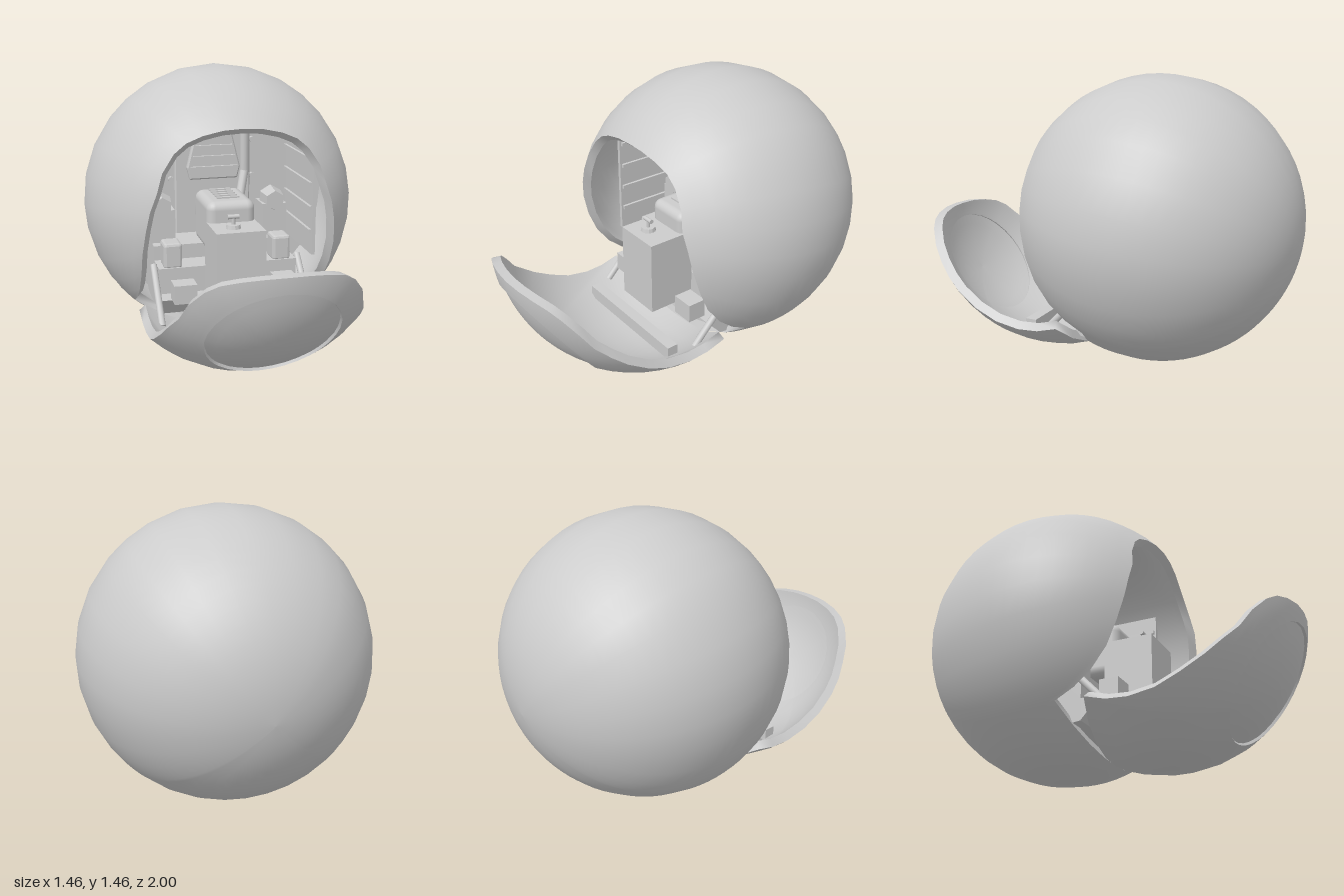
import * as THREE from 'three';
import { RoundedBoxGeometry } from 'three/addons/geometries/RoundedBoxGeometry.js';

const R = 0.73, RI = 0.685, DEG = Math.PI / 180;
const BODY_Z = -0.27, SWING = 43.3, WINDOW = 26;
const mat = new THREE.MeshStandardMaterial({ color: 0xcccccc, side: THREE.DoubleSide });
const flat = new THREE.MeshStandardMaterial({ color: 0xcccccc, side: THREE.DoubleSide, flatShading: true });

function add(parent, name, geo, x = 0, y = 0, z = 0, material = flat) {
  const m = new THREE.Mesh(geo, material);
  m.name = name;
  m.position.set(x, y, z);
  parent.add(m);
  return m;
}
const box = (w, h, d) => new THREE.BoxGeometry(w, h, d);

// Unit direction at offset x and angle phi, turning from straight down to the front
function dir(x, phi) {
  const u = x / R, rho = Math.sqrt(1 - u * u);
  return new THREE.Vector3(u, -Math.cos(phi * DEG) * rho, Math.sin(phi * DEG) * rho);
}
function slerp(a, b, t) {
  const w = a.angleTo(b);
  if (w < 1e-5) return a.clone();
  return a.clone().multiplyScalar(Math.sin((1 - t) * w) / Math.sin(w))
    .addScaledVector(b, Math.sin(t * w) / Math.sin(w));
}
// Surface through closed rings of points
function skin(rings) {
  const n = rings[0].length, pos = [], idx = [];
  rings.forEach(r => r.forEach(p => pos.push(p.x, p.y, p.z)));
  for (let i = 0; i < rings.length - 1; i++) for (let j = 0; j < n; j++) {
    const a = i * n + j, b = i * n + (j + 1) % n;
    idx.push(a, b, a + n, b, b + n, a + n);
  }
  const g = new THREE.BufferGeometry();
  g.setAttribute('position', new THREE.Float32BufferAttribute(pos, 3));
  g.setIndex(idx);
  g.computeVertexNormals();
  return g;
}
// Thick spherical shell between two loops of directions
function shell(parent, name, from, to, rows, rOut, rIn) {
  const g = new THREE.Group();
  g.name = name;
  parent.add(g);
  const face = r => skin(Array.from({ length: rows + 1 }, (_, i) =>
    from.map((d, j) => slerp(d, to[j], i / rows).multiplyScalar(r))));
  const rim = loop => skin([rOut, rIn].map(r => loop.map(d => d.clone().multiplyScalar(r))));
  add(g, name + 'Outside', face(rOut), 0, 0, 0, mat);
  add(g, name + 'Inside', face(rIn), 0, 0, 0, mat);
  add(g, name + 'Rim', rim(from), 0, 0, 0, mat);
  if (to[0].distanceTo(to[1]) > 1e-4) add(g, name + 'InnerRim', rim(to), 0, 0, 0, mat);
  return g;
}
function rod(parent, name, a, b, r) {
  const p = new THREE.Vector3(...a), q = new THREE.Vector3(...b);
  const m = add(parent, name, new THREE.CylinderGeometry(r, r, p.distanceTo(q), 12), 0, 0, 0, mat);
  m.position.copy(p).add(q).multiplyScalar(0.5);
  m.quaternion.setFromUnitVectors(new THREE.Vector3(0, 1, 0), q.sub(p).normalize());
}
function extrude(points, depth, bevel = 0) {
  return new THREE.ExtrudeGeometry(new THREE.Shape(points.map(p => new THREE.Vector2(...p))),
    { depth, bevelEnabled: bevel > 0, bevelSize: bevel, bevelThickness: bevel, bevelSegments: 1 });
}

export function createModel() {
  const model = new THREE.Group();
  model.name = 'sphericalPod';

  // Doorway outline as (x, angle), mirrored
  const half = [[0, 130], [0.1, 129.8], [0.2, 128.8], [0.28, 127], [0.34, 123.5], [0.4, 116], [0.43, 107],
    [0.465, 98], [0.485, 88], [0.5, 74], [0.5, 60], [0.5, 46], [0.5, 34], [0.5, 22], [0.38, 22], [0.25, 22],
    [0.12, 22], [0, 22]];
  const outline = [...half, ...half.slice(1, -1).reverse().map(([x, p]) => [-x, p])].map(([x, p]) => dir(x, p));
  const centre = dir(0, 97.8);

  // Main spherical hull
  const back = centre.clone().multiplyScalar(-1);
  // keep the far pole slightly open-angled so the loop stays well defined
  const hull = shell(model, 'hull', outline, outline.map(() => back), 24, R, RI);
  hull.position.set(0, R, BODY_Z);

  // Lowered hatch with a recessed round window
  const hatch = new THREE.Group();
  hatch.name = 'hatch';
  hatch.position.set(0, R, -BODY_Z);
  hatch.rotation.x = SWING * DEG;
  model.add(hatch);
  const circle = outline.map(d => slerp(centre, d, WINDOW * DEG / centre.angleTo(d)));
  shell(hatch, 'hatchPanel', outline, circle, 6, R, RI);
  shell(hatch, 'hatchWindow', circle, circle.map(() => centre), 6, 0.716, 0.695);

  // Step bar on the hatch, and struts
  add(model, 'stepBar', box(0.72, 0.07, 0.06), 0, 0.17, 0.3);
  for (const s of [-1, 1]) {
    rod(model, 'hatchStrut', [s * 0.4, 0.18, 0.19], [s * 0.4, 0.43, -0.05], 0.018);
    add(model, 'stepBlock', box(0.12, 0.1, 0.1), s * 0.27, 0.33, 0.12);
  }

  // Stepped floor
  const floor = add(model, 'floor', extrude([[-0.6, 0.3], [-0.3, 0.13], [0, 0.17], [0.1, 0.28], [0, 0.28],
    [0, 0.42], [-0.15, 0.42], [-0.15, 0.5], [-0.6, 0.5]], 0.76), -0.38, 0, 0);
  floor.rotation.y = -Math.PI / 2;
  floor.scale.z = -1;
  floor.geometry.computeVertexNormals();

  // Central pedestal, control lever and slotted console
  add(model, 'pedestal', box(0.26, 0.4, 0.26), 0, 0.47, 0.13);
  add(model, 'consoleTop', new RoundedBoxGeometry(0.26, 0.28, 0.34, 3, 0.045), 0, 0.64, -0.1, mat);
  for (let i = 0; i < 5; i++) add(model, 'consoleSlot', box(0.12, 0.012, 0.02), 0, 0.782, -0.2 + i * 0.045);
  add(model, 'leverBase', new THREE.CylinderGeometry(0.035, 0.04, 0.02, 12), -0.02, 0.68, 0.17);
  rod(model, 'leverStem', [-0.02, 0.68, 0.17], [-0.02, 0.73, 0.17], 0.01);
  rod(model, 'leverGrip', [-0.05, 0.73, 0.17], [0.01, 0.73, 0.17], 0.012);

  // Rear wall with framed vent, bolts and cable duct
  const wall = add(model, 'rearWall', new THREE.CylinderGeometry(0.66, 0.66, 0.03, 32), 0, R, -0.42);
  wall.rotation.x = Math.PI / 2;
  add(model, 'rearPanel', extrude([[-0.21, 0.5], [0.21, 0.5], [0.21, 1.12], [0, 1.14], [-0.21, 1.12]], 0.03, 0.008),
    0, 0, -0.405);
  add(model, 'ventFrame', extrude([[-0.13, 0.82], [0.13, 0.82], [0.145, 0.88], [0.1, 1.06], [-0.1, 1.06],
    [-0.145, 0.88]], 0.02, 0.008), 0, 0, -0.365);
  for (let i = 0; i < 3; i++) add(model, 'ventBar', box(0.27 - i * 0.03, 0.016, 0.02), 0, 0.88 + i * 0.06, -0.33);
  rod(model, 'cableDuct', [0.18, 1.1, -0.35], [0.18, 0.85, -0.35], 0.025);
  rod(model, 'cableDuct', [0.18, 0.85, -0.35], [0.14, 0.7, -0.3], 0.025);

  // Side fittings, mirrored
  for (const s of [-1, 1]) {
    for (const y of [0.81, 1.02]) {
      const bolt = add(model, 'wallBolt', new THREE.CylinderGeometry(0.016, 0.016, 0.03, 10), s * 0.235, y, -0.395);
      bolt.rotation.x = Math.PI / 2;
    }
    const knob = add(model, 'hexPad', new THREE.CylinderGeometry(0.055, 0.07, 0.1, 6), s * 0.32, 0.7, -0.25);
    knob.rotation.x = Math.PI / 2;
    add(model, 'hexPadMount', box(0.14, 0.2, 0.14), s * 0.32, 0.58, -0.28);
    add(model, 'sideBlock', new RoundedBoxGeometry(0.1, 0.14, 0.12, 1, 0.015), s * 0.3, 0.48, -0.07);
    add(model, 'sideWall', box(0.02, 0.62, 0.5), s * 0.46, 0.76, -0.2);
    for (let i = 0; i < 4; i++) add(model, 'wallRib', box(0.02, 0.02, 0.48), s * 0.445, 0.58 + i * 0.13, -0.2);
  }
  return model;
}
